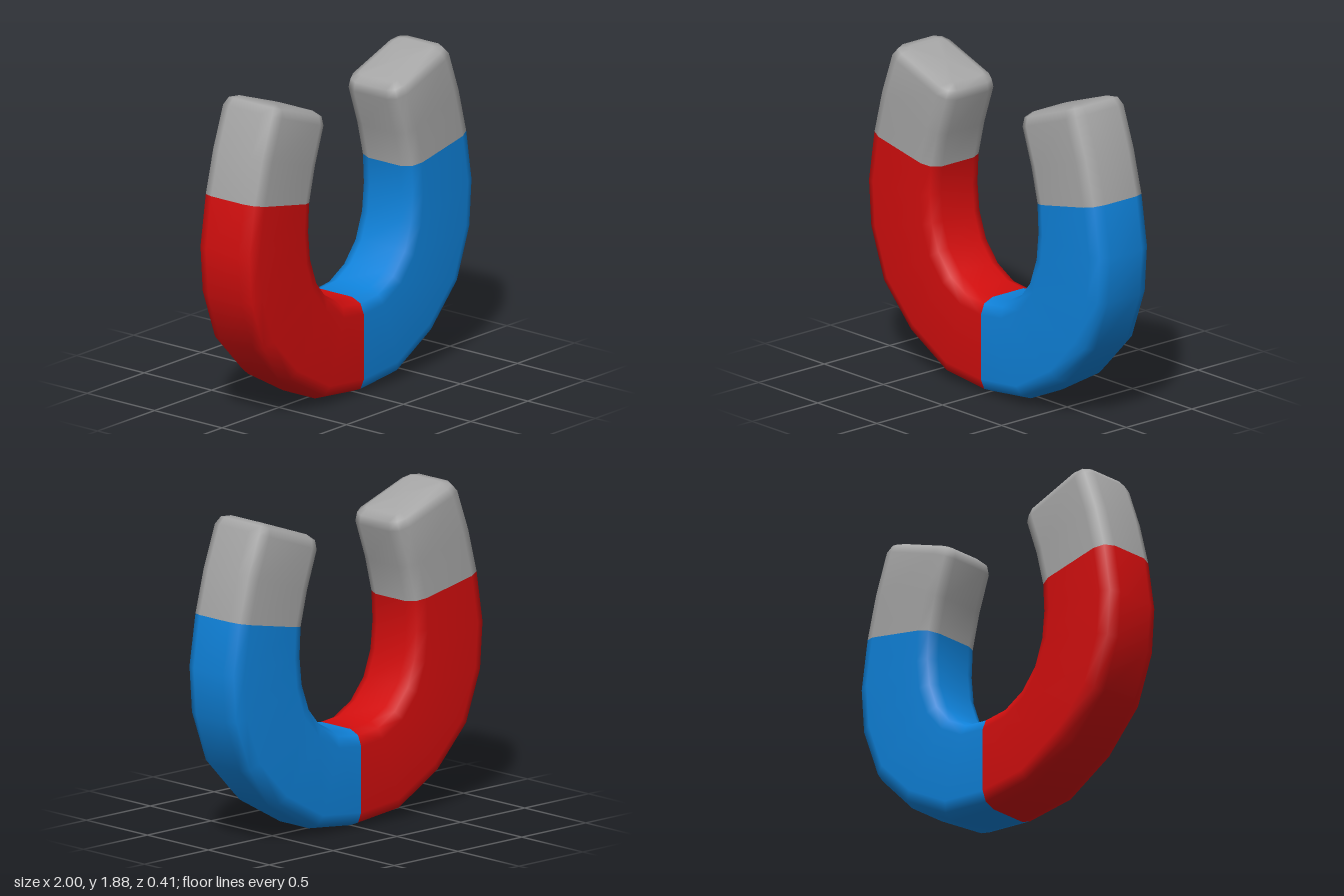
import * as THREE from 'three';

const material = (name, color) => {
  const m = new THREE.MeshStandardMaterial({ color });
  m.name = name;
  return m;
};

// One half of the arch, from the bottom centre to the tip: outer x, y, inner x, y
const STATIONS = [
  [0, 0, 0, 0.56],
  [0.325, 0.035, 0.145, 0.575],
  [0.635, 0.21, 0.27, 0.645],
  [0.868, 0.455, 0.365, 0.76],
  [0.98, 0.76, 0.418, 0.91],
  [1.0, 1.035, 0.433, 1.07],
  [0.953, 1.34, 0.425, 1.235],
  [0.886, 1.6, 0.375, 1.44],
  [0.8, 1.84, 0.3, 1.66],
];
const HALF_DEPTH = 0.207;
const CORNER = 0.088;
const TIP_STATION = 6; // where the bare metal begins
const CORNER_STEPS = 2;
const SIDES = 4 * (CORNER_STEPS + 1);

// Rounded rectangle spanned between an outer and an inner point
function section({ outer, inner, depth, corner }) {
  const mid = outer.clone().add(inner).multiplyScalar(0.5);
  const u = outer.clone().sub(inner);
  const half = u.length() / 2;
  u.normalize();
  const points = [];
  for (let q = 0; q < 4; q++) {
    const su = q === 0 || q === 3 ? 1 : -1;
    const sz = q < 2 ? 1 : -1;
    for (let k = 0; k <= CORNER_STEPS; k++) {
      const a = (q + k / CORNER_STEPS) * Math.PI / 2;
      const along = su * (half - corner) + corner * Math.cos(a);
      const z = sz * (depth - corner) + corner * Math.sin(a);
      points.push(new THREE.Vector3(mid.x + u.x * along, mid.y + u.y * along, z));
    }
  }
  return points;
}

function halfProfile() {
  const rings = STATIONS.map(([ox, oy, ix, iy]) => ({
    outer: new THREE.Vector2(ox, oy), inner: new THREE.Vector2(ix, iy),
    depth: HALF_DEPTH, corner: CORNER,
  }));
  // Rounded rim at the tip
  const { outer, inner } = rings[rings.length - 1];
  const u = outer.clone().sub(inner).normalize();
  const t = new THREE.Vector2(-u.y, u.x);
  const r = 0.07;
  for (const a of [Math.PI / 4, Math.PI / 2]) {
    const inset = r * (1 - Math.cos(a));
    const rise = r * Math.sin(a);
    rings.push({
      outer: outer.clone().addScaledVector(u, -inset).addScaledVector(t, rise),
      inner: inner.clone().addScaledVector(u, inset).addScaledVector(t, rise),
      depth: HALF_DEPTH - inset, corner: CORNER - inset * 0.75,
    });
  }
  return rings;
}

export function createModel() {
  const red = material('red paint', 0xd20e0e);
  const blue = material('blue paint', 0x0f82da);
  const metal = material('bare metal', 0xa6a6a6);

  // Full sweep: left-hand half mirrored, then the other half
  const right = halfProfile();
  const flip = (v) => new THREE.Vector2(-v.x, v.y);
  const left = right.slice(1).reverse().map((s) => ({ ...s, outer: flip(s.outer), inner: flip(s.inner) }));
  const rings = [...left, ...right].map(section);
  const centre = left.length;
  const last = rings.length - 1;

  const positions = [];
  rings.flat().forEach((p) => positions.push(p.x, p.y, p.z));
  const capStart = rings.length * SIDES;
  for (const ring of [rings[0], rings[last]]) {
    const c = new THREE.Vector3();
    ring.forEach((p) => c.addScaledVector(p, 1 / SIDES));
    positions.push(c.x, c.y, c.z);
  }

  const skin = (from, to) => {
    const index = [];
    for (let i = from; i < to; i++) {
      for (let j = 0; j < SIDES; j++) {
        const k = (j + 1) % SIDES;
        const a = i * SIDES + j, b = i * SIDES + k;
        const c = a + SIDES, d = b + SIDES;
        index.push(a, c, b, b, c, d);
      }
    }
    for (let j = 0; j < SIDES; j++) {
      const k = (j + 1) % SIDES;
      if (from === 0) index.push(capStart, j, k);
      if (to === last) index.push(capStart + 1, last * SIDES + k, last * SIDES + j);
    }
    return index;
  };

  // Normals come from the whole body so shading runs on across colour changes
  const whole = new THREE.BufferGeometry();
  whole.setAttribute('position', new THREE.Float32BufferAttribute(positions, 3));
  whole.setIndex(skin(0, last));
  whole.computeVertexNormals();

  const group = new THREE.Group();
  group.name = 'horseshoeMagnet';
  const parts = [
    ['rightTip', 0, centre - TIP_STATION, metal],
    ['rightArm', centre - TIP_STATION, centre, red],
    ['leftArm', centre, centre + TIP_STATION, blue],
    ['leftTip', centre + TIP_STATION, last, metal],
  ];
  for (const [name, from, to, mat] of parts) {
    const geometry = whole.clone();
    geometry.setIndex(skin(from, to));
    const mesh = new THREE.Mesh(geometry, mat);
    mesh.name = name;
    group.add(mesh);
  }
  return group;
}
